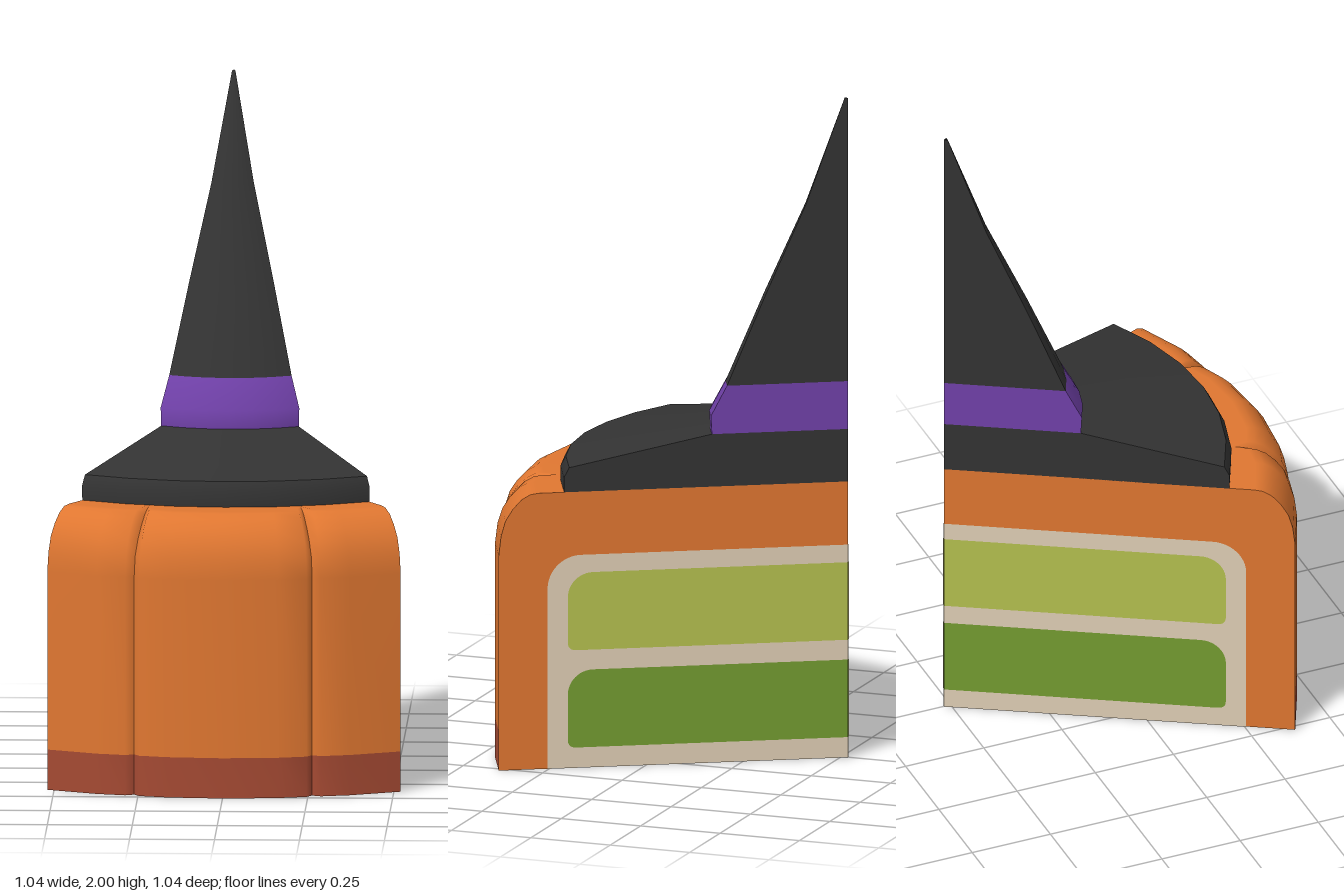
import * as THREE from 'three';

const mat = (name, color, side = THREE.FrontSide) => {
  const m = new THREE.MeshStandardMaterial({ color, side });
  m.name = name;
  return m;
};
const rad = THREE.MathUtils.degToRad;
const pts = (list) => list.map(([r, y]) => new THREE.Vector2(r, y));

// Profiles as [radius, height] measured from the tip of the slice
const ICING = [[1.04, 0.12], [1.04, 0.65], [1.033, 0.71], [1.02, 0.755], [0.998, 0.79], [0.972, 0.818], [0.945, 0.833], [0.92, 0.836], [0, 0.836]];
const BRIM = [[0.845, 0.835], [0.846, 0.88], [0.83, 0.91], [0.405, 0.995]];
const BAND = [[0.405, 0.995], [0.408, 1.05], [0.36, 1.14]];
const CONE = [[0.36, 1.14], [0.25, 1.4], [0.125, 1.68], [0.01, 1.998], [0, 2]];

// Angles across one lobe, with how far the surface sinks towards the groove
const LOBE = [[-15, 0.028], [-13.8, 0.008], [-9, 0.002], [0, 0], [9, 0.002], [13.8, 0.008], [15, 0.028]];

function lobeGeometry(profile, steps, centre) {
  const geo = new THREE.LatheGeometry(pts(profile), steps.length - 1);
  const pos = geo.attributes.position;
  steps.forEach(([angle, inset], i) => {
    const a = rad(centre + angle);
    profile.forEach(([r, y], j) => {
      const deep = y > 0.7 ? 1 + Math.min(1.5, (y - 0.7) * 12) : 1;
      const radius = r > 0 ? r - inset * deep : 0;
      pos.setXYZ(i * profile.length + j, Math.sin(a) * radius, y, Math.cos(a) * radius);
    });
  });
  geo.computeVertexNormals();
  return geo;
}

// Flat outline from the tip of the slice to radius r, with rounded outer corners
function layerShape(r, y0, y1, top, bottom) {
  const s = new THREE.Shape();
  s.moveTo(0, y0);
  s.lineTo(r - bottom, y0);
  if (bottom) s.quadraticCurveTo(r, y0, r, y0 + bottom);
  s.lineTo(r, y1 - top);
  s.absarc(r - top, y1 - top, top, 0, Math.PI / 2, false);
  s.lineTo(0, y1);
  return s;
}

export function createModel() {
  const model = new THREE.Group();
  model.name = 'cakeSlice';
  const slice = new THREE.Group();
  slice.name = 'slice';
  slice.position.z = -0.52;
  model.add(slice);

  const D = THREE.DoubleSide;
  const orange = mat('orangeIcing', 0xe07731, D);
  const rust = mat('rustBase', 0xa54a33);
  const black = mat('blackHat', 0x333333, D);
  const purple = mat('purpleBand', 0x7141aa, D);
  const cream = mat('creamFilling', 0xe0cfb6, D);
  const lime = mat('limeSponge', 0xb5c14f, D);
  const green = mat('greenSponge', 0x749c31, D);

  const add = (parent, name, geo, material) => {
    const mesh = new THREE.Mesh(geo, material);
    mesh.name = name;
    parent.add(mesh);
    return mesh;
  };

  // Pumpkin lobes: a full one in front and a half one at each side
  const lobes = [
    ['middleLobe', LOBE, 0],
    ['leftLobe', LOBE.slice(0, 4), 30],
    ['rightLobe', LOBE.slice(3), -30],
  ];
  for (const [name, steps, centre] of lobes) {
    add(slice, name, lobeGeometry(ICING, steps, centre), orange);
    add(slice, name + 'Base', lobeGeometry([[1.04, 0], [1.04, 0.12]], steps, centre), rust);
    add(slice, name + 'Underside', lobeGeometry([[0, 0], [1.04, 0]], steps, centre), orange);
  }

  // Pointed hat, each section a sixth of a turn
  const turned = (name, profile, material) =>
    add(slice, name, new THREE.LatheGeometry(pts(profile), 6, -Math.PI / 6, Math.PI / 3), material);
  turned('hatBrimEdge', BRIM.slice(0, 3), black);
  turned('hatBrim', BRIM.slice(2), black);
  turned('hatBand', BAND, purple);
  turned('hatCone', CONE, black);

  // Cut faces on both sides, with the layers as thin plates on top
  const outline = (profile) =>
    new THREE.Shape(pts([[0, profile[0][1]], ...profile, [0, profile[profile.length - 1][1]]]));
  const faces = [
    ['icingCut', outline([[1.04, 0], ...ICING.slice(0, -1)]), orange, 0],
    ['brimCut', outline(BRIM), black, 0],
    ['bandCut', outline(BAND), purple, 0],
    ['coneCut', outline(CONE.slice(0, -1)), black, 0],
    ['creamCut', layerShape(0.895, 0, 0.645, 0.1, 0), cream, 0.002],
    ['upperSponge', layerShape(0.835, 0.357, 0.592, 0.075, 0.025), lime, 0.004],
    ['lowerSponge', layerShape(0.835, 0.062, 0.297, 0.075, 0.025), green, 0.004],
  ];
  for (const side of [1, -1]) {
    const cut = new THREE.Group();
    cut.name = side > 0 ? 'leftCut' : 'rightCut';
    cut.rotation.y = rad(side > 0 ? -60 : -120);
    slice.add(cut);
    for (const [name, shape, material, lift] of faces) {
      add(cut, name, new THREE.ShapeGeometry(shape, 6), material).position.z = -side * lift;
    }
  }
  return model;
}
